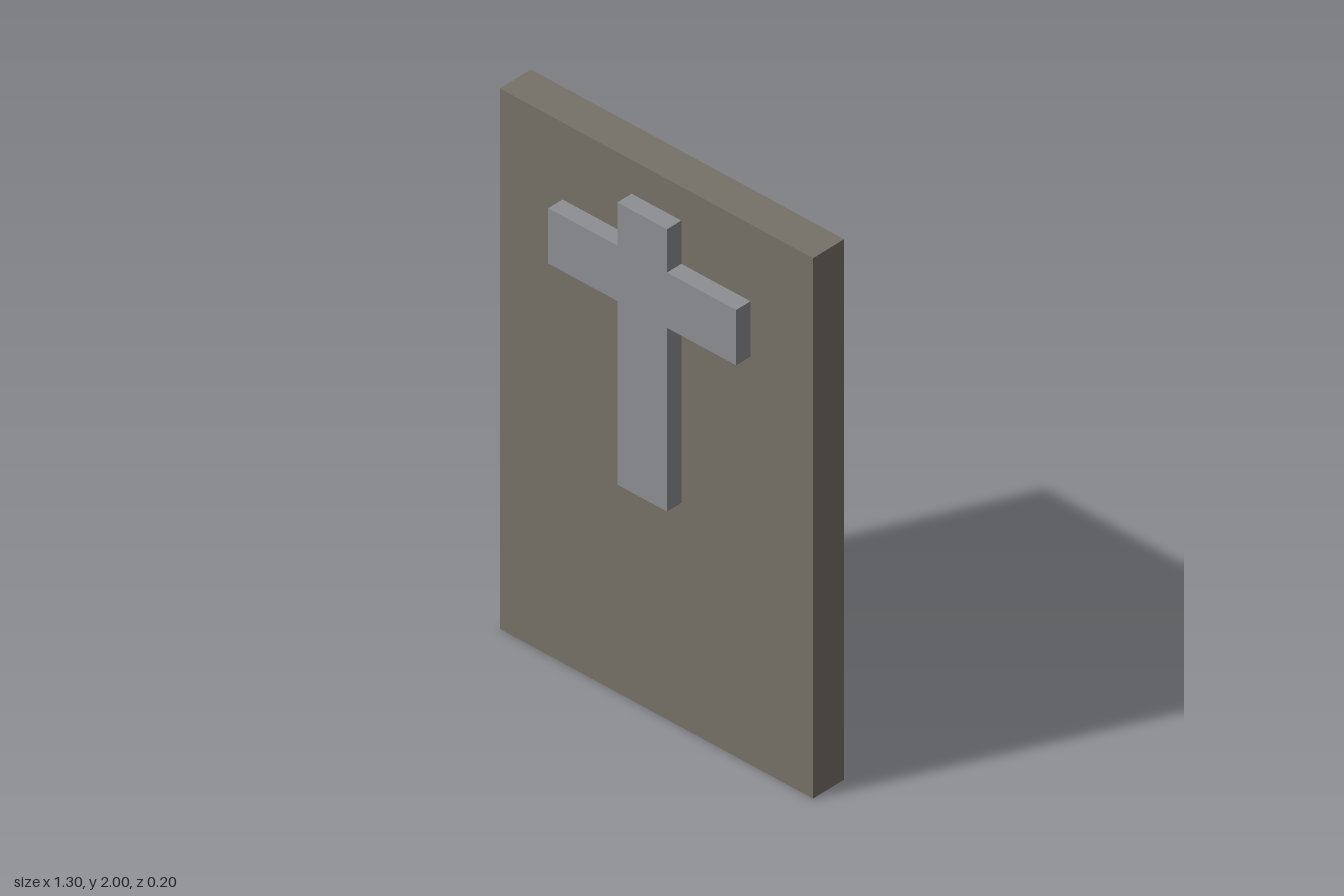
import * as THREE from 'three';

export function createModel() {
  const model = new THREE.Group();
  const back = -0.1, face = 0.037, front = 0.1;

  // Upright stone slab
  const slab = new THREE.Mesh(
    new THREE.BoxGeometry(1.3, 2, face - back),
    new THREE.MeshStandardMaterial({ color: 0x777168 })
  );
  slab.name = 'slab';
  slab.position.set(0, 1, (face + back) / 2);
  model.add(slab);

  // Raised cross: right half of the outline, mirrored for the left
  const half = [
    [0.103, 0.83], [0.103, 1.51], [0.39, 1.51],
    [0.39, 1.715], [0.103, 1.715], [0.103, 1.875],
  ];
  const mirrored = half.map(([x, y]) => [-x, y]).reverse();
  const outline = [...half, ...mirrored].map(([x, y]) => new THREE.Vector2(x, y));
  const cross = new THREE.Mesh(
    new THREE.ExtrudeGeometry(new THREE.Shape(outline), { depth: front - face, bevelEnabled: false }),
    new THREE.MeshStandardMaterial({ color: 0x8e8f93 })
  );
  cross.name = 'cross';
  cross.position.z = face;
  model.add(cross);

  return model;
}
